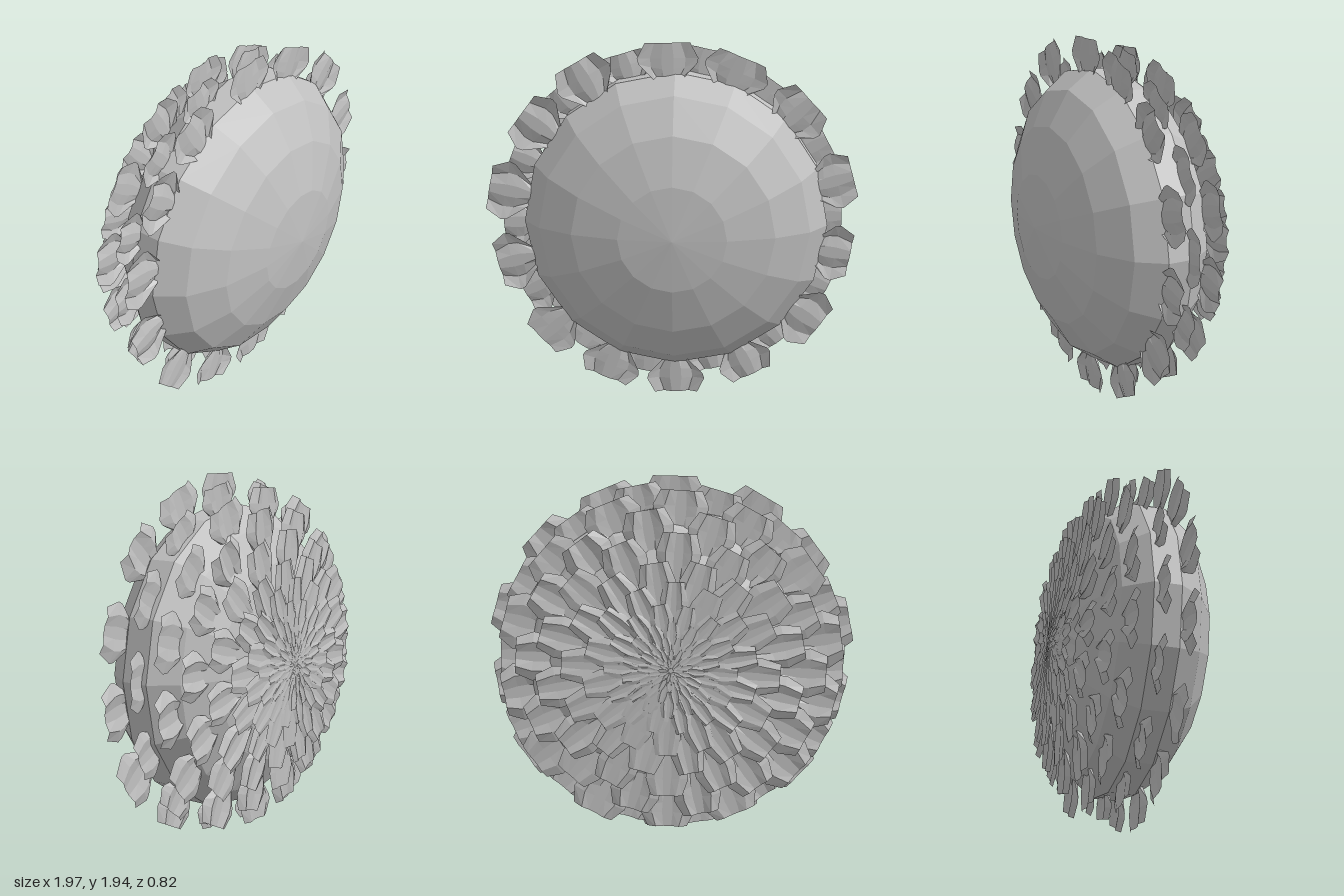
import * as THREE from 'three';

// Small seeded generator for the petal irregularities
function makeRandom(seed) {
  return () => {
    seed = (seed * 16807) % 2147483647;
    return seed / 2147483647;
  };
}

// One pleated petal pointing along +y: narrow base, wide middle, blunt tip
function petalGeometry(base, tip, halfWidth, pleat, lean) {
  const rows = [[0, 0.4], [0.4, 0.95], [0.65, 1], [1, 0.74]]; // along length, relative width
  const columns = [[-1, -0.8], [-0.58, 0.8], [-0.2, -0.3], [0.2, -0.3], [0.58, 0.8], [1, -0.8]];
  const positions = [];
  const index = [];
  rows.forEach(([t, w], r) => {
    columns.forEach(([u, h], c) => {
      // outer columns start further out, rounding off the base
      const y = base + (tip - base) * (t + (r < 2 ? 0.12 * u * u : 0));
      positions.push(u * w * halfWidth, y, -h * pleat + lean * (t - 0.5));
      if (r && c) {
        const d = r * columns.length + c;
        const b = d - columns.length;
        index.push(b - 1, b, d, b - 1, d, d - 1);
      }
    });
  });
  const geometry = new THREE.BufferGeometry();
  geometry.setAttribute('position', new THREE.Float32BufferAttribute(positions, 3));
  geometry.setIndex(index);
  geometry.computeVertexNormals();
  return geometry;
}

export function createModel() {
  const model = new THREE.Group();
  model.name = 'petalledDisc';
  const grey = new THREE.MeshStandardMaterial({
    color: 0xc0c0c0, flatShading: true, side: THREE.DoubleSide,
  });
  grey.name = 'grey';
  const random = makeRandom(77);

  // Flattened faceted body with its poles facing front and back
  const bodyGeometry = new THREE.SphereGeometry(0.82, 16, 9);
  bodyGeometry.rotateX(Math.PI / 2);
  bodyGeometry.scale(1, 1, 0.5);
  const body = new THREE.Mesh(bodyGeometry, grey);
  body.name = 'body';
  body.position.set(0.02, 1.005, 0);
  model.add(body);

  // Petal rings from the rim to the middle of the back: z, base radius, tip radius, half width
  const rings = [
    [0.08, 0.74, 0.99, 0.165],
    [-0.045, 0.74, 0.935, 0.15],
    [-0.185, 0.67, 0.91, 0.15],
    [-0.27, 0.55, 0.81, 0.135],
    [-0.34, 0.41, 0.69, 0.115],
    [-0.385, 0.24, 0.56, 0.095],
    [-0.396, 0.18, 0.45, 0.075],
    [-0.401, 0.13, 0.34, 0.058],
    [-0.404, 0.09, 0.25, 0.043],
    [-0.407, 0.06, 0.17, 0.03],
    [-0.409, 0.03, 0.11, 0.02],
    [-0.411, 0.01, 0.06, 0.012],
  ];
  const count = 14;
  const step = (Math.PI * 2) / count;
  rings.forEach(([z, base, tip, halfWidth], r) => {
    const ring = new THREE.Group();
    ring.name = `petalRing${r + 1}`;
    ring.position.set(0, 1, z);
    const depth = Math.min(0.016, halfWidth * 0.12);
    for (let i = 0; i < count; i++) {
      const length = tip * (0.975 + 0.03 * random());
      const pleat = depth * (0.4 + 0.6 * random());
      const lean = depth * (random() - 0.5) * 1.2;
      const petal = new THREE.Mesh(
        petalGeometry(base, length, halfWidth * (0.92 + 0.12 * random()), pleat, lean), grey);
      petal.name = 'petal';
      // neighbouring rings are staggered by half a petal
      petal.rotation.z = 0.05 + (i + (r % 2) / 2) * step + (random() - 0.5) * 0.06;
      ring.add(petal);
    }
    model.add(ring);
  });
  return model;
}
